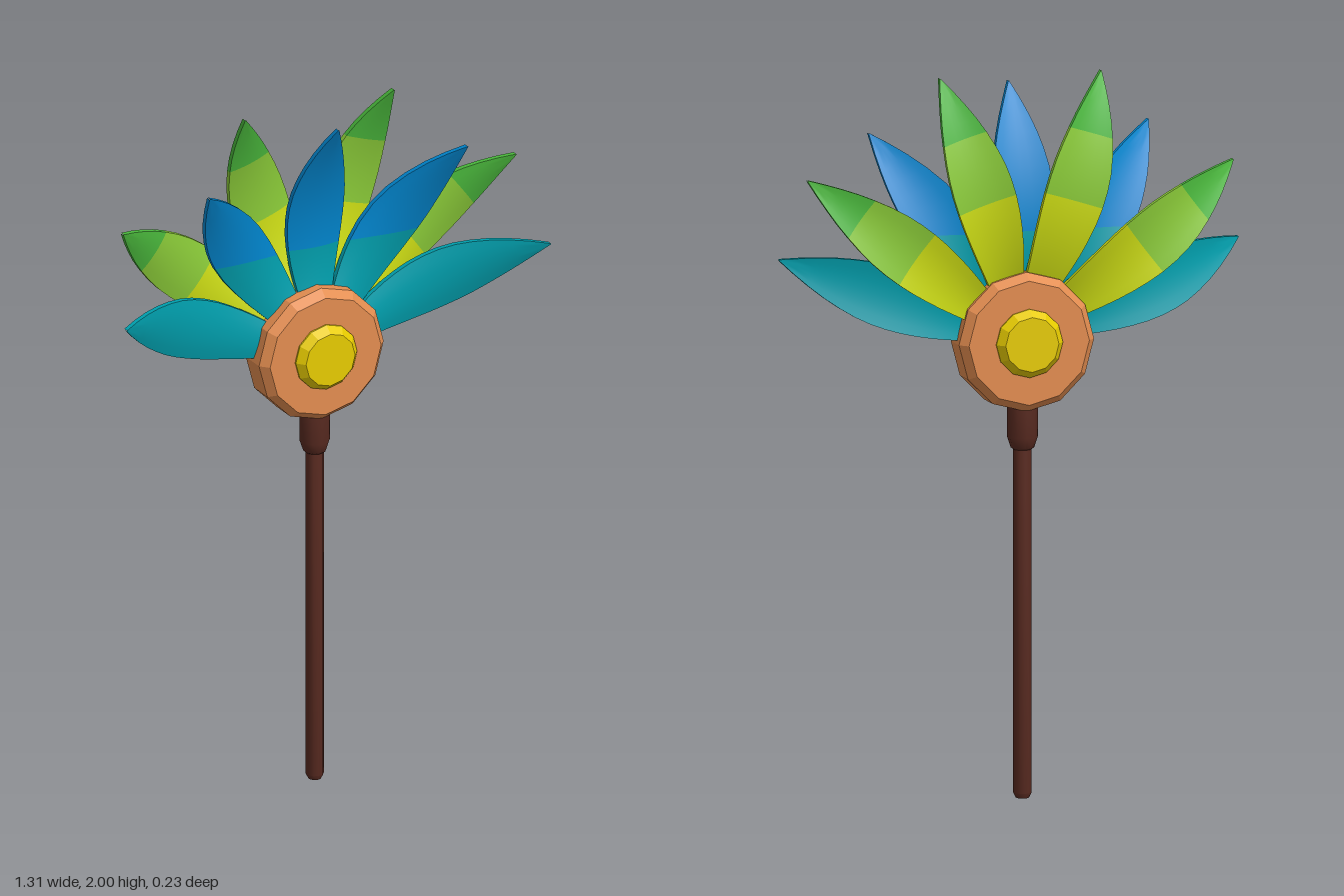
import * as THREE from 'three';
import { toCreasedNormals } from 'three/addons/utils/BufferGeometryUtils.js';

const HUB_Y = 1.268;
const HUB_Z = -0.02;

function paint(name, color) {
  const m = new THREE.MeshStandardMaterial({ color });
  m.name = name;
  return m;
}

// Turned part from [radius, height] pairs, listed from low to high
function turned(name, profile, sides, crease, material) {
  const points = profile.map(([r, h]) => new THREE.Vector2(r, h));
  const mesh = new THREE.Mesh(toCreasedNormals(new THREE.LatheGeometry(points, sides), crease), material);
  mesh.name = name;
  return mesh;
}

// Half widths of a petal along its length (0 = base, 1 = tip)
const outline = new THREE.CatmullRomCurve3([
  [0, 0.03], [0.16, 0.054], [0.32, 0.074], [0.48, 0.085], [0.63, 0.081], [0.79, 0.057], [0.91, 0.028], [1, 0.001],
].map(([t, w]) => new THREE.Vector3(t, w, 0)));

function halfWidth(t) {
  let lo = 0, hi = 1;
  for (let i = 0; i < 25; i++) {
    const mid = (lo + hi) / 2;
    if (outline.getPoint(mid).x < t) lo = mid; else hi = mid;
  }
  return Math.max(outline.getPoint(lo).y, 0.001);
}

// Thin curved petal along +y; limits are the radii that end each colour band,
// slope slants the first limit across the petal
function petalGeometry({ base, tip, belly, depth, limits, slope = 0 }) {
  const thick = 0.016, cup = -0.012, cols = 6;
  const widthAt = (r) => halfWidth((r - base) / (tip - base));
  const ring = (row) => {
    const slant = slope ? slope * Math.max(0, 1 - Math.abs(row - limits[0]) / 0.25) : 0;
    const front = [], back = [];
    for (let j = 0; j <= cols; j++) {
      const u = (j / cols) * 2 - 1;
      const r = row + slant * u * widthAt(row);
      const w = widthAt(r);
      const z = depth + 0.75 * (r - belly) ** 2 + cup * u * u * (w / 0.085);
      front.push([u * w, r, z + thick / 2]);
      back.unshift([u * w, r, z - thick / 2]);
    }
    return [...front, ...back];
  };
  const pos = [];
  const geo = new THREE.BufferGeometry();
  let from = base;
  [...limits, tip].forEach((to, band) => {
    const start = pos.length / 3;
    const rows = Math.max(4, Math.round((to - from) / 0.045));
    for (let i = 0; i < rows; i++) {
      const a = ring(from + ((to - from) * i) / rows);
      const b = ring(from + ((to - from) * (i + 1)) / rows);
      a.forEach((p, j) => {
        const k = (j + 1) % a.length;
        pos.push(...p, ...a[k], ...b[k], ...p, ...b[k], ...b[j]);
      });
    }
    geo.addGroup(start, pos.length / 3 - start, band);
    from = to;
  });
  geo.setAttribute('position', new THREE.Float32BufferAttribute(pos, 3));
  return toCreasedNormals(geo, 0.7);
}

export function createModel() {
  const brown = paint('dark wood', 0x5a2b21);
  const copper = paint('copper', 0xe38d50);
  const yellow = paint('yellow', 0xeace00);
  const teal = paint('teal', 0x009eac);
  const blue = paint('blue', 0x0087d0);
  const lime = paint('lime', 0xccdc14);
  const green = paint('leaf green', 0x8aca38);
  const deepGreen = paint('deep green', 0x4ab83c);

  const group = new THREE.Group();
  group.name = 'petalStaff';

  // Stick and the collar under the hub
  const stick = turned('stick', [[0, 0], [0.018, 0], [0.025, 0.014], [0.025, 1.0]], 10, 0.7, brown);
  const collar = turned('collar',
    [[0.025, 0.965], [0.032, 0.97], [0.042, 1.0], [0.042, 1.12], [0, 1.12]], 10, 0.7, brown);
  for (const part of [stick, collar]) {
    part.position.z = HUB_Z;
    group.add(part);
  }

  // Faceted hub with a boss showing on both faces
  const hub = turned('hub',
    [[0, -0.063], [0.172, -0.063], [0.193, -0.038], [0.193, 0.038], [0.172, 0.063], [0, 0.063]], 12, 0.3, copper);
  const boss = turned('boss',
    [[0, -0.092], [0.076, -0.092], [0.095, -0.068], [0.095, 0.068], [0.076, 0.092], [0, 0.092]], 12, 0.3, yellow);
  for (const part of [hub, boss]) {
    part.rotation.x = Math.PI / 2;
    part.position.set(0, HUB_Y, HUB_Z);
    group.add(part);
  }

  // Fans of petals around the hub
  const addPetal = (name, degrees, shape, materials) => {
    const mesh = new THREE.Mesh(petalGeometry(shape), materials);
    mesh.name = name;
    mesh.position.y = HUB_Y;
    mesh.rotation.z = -THREE.MathUtils.degToRad(degrees);
    group.add(mesh);
  };
  const front = { base: 0.08, tip: 0.697, belly: 0.27, depth: -0.024 };
  const back = { base: 0.08, tip: 0.767, belly: 0.43, depth: -0.082, limits: [0.41, 0.6] };
  addPetal('frontPetalMiddle', 0, { ...front, limits: [0.302] }, [teal, blue]);
  for (const side of [-1, 1]) {
    const label = side > 0 ? 'Left' : 'Right';
    addPetal('frontPetalUpper' + label, 35 * side, { ...front, limits: [0.367], slope: 0.7 * side }, [teal, blue]);
    addPetal('frontPetalLower' + label, 70.5 * side, { ...front, limits: [] }, [teal]);
    addPetal('backPetalUpper' + label, 17.5 * side, back, [lime, green, deepGreen]);
    addPetal('backPetalLower' + label, 52.5 * side, back, [lime, green, deepGreen]);
  }
  return group;
}
